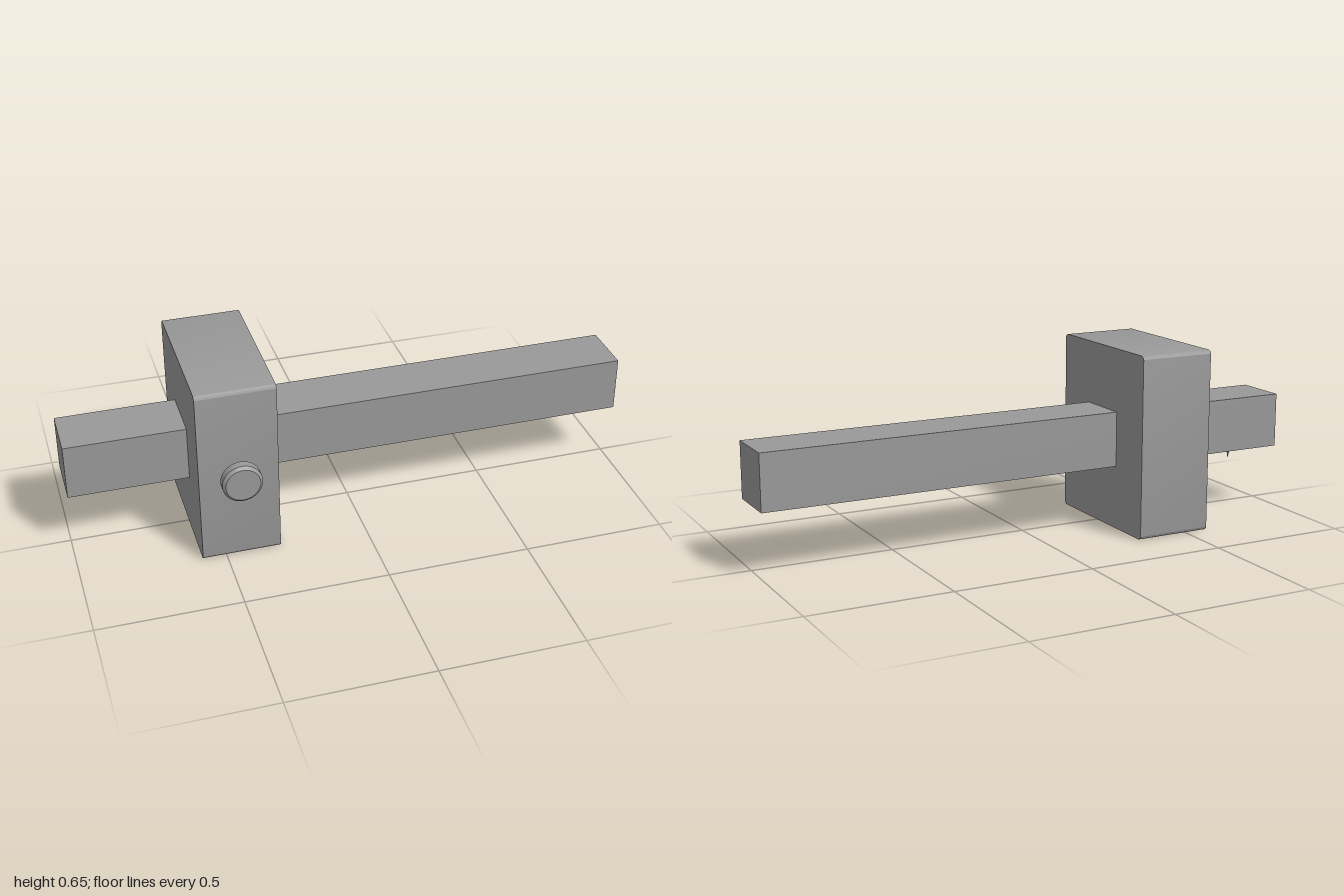
import * as THREE from 'three';
import { toCreasedNormals } from 'three/addons/utils/BufferGeometryUtils.js';

const BAR_Y = 0.326, BAR_Z = -0.031, BLOCK_X = -0.446;

export function createModel() {
  const model = new THREE.Group();
  model.name = 'markingGauge';
  const grey = new THREE.MeshStandardMaterial({ color: 0x999999 });
  grey.name = 'grey';

  const add = (name, geometry, x, y, z) => {
    const mesh = new THREE.Mesh(geometry, grey);
    mesh.name = name;
    mesh.position.set(x, y, z);
    model.add(mesh);
    return mesh;
  };

  // Long square beam
  add('beam', new THREE.BoxGeometry(2, 0.197, 0.197), 0, BAR_Y, BAR_Z);

  // Sliding fence: rounded rectangle in z/y, extruded along x
  const w = 0.541 / 2, h = 0.65 / 2, r = 0.015;
  const outline = new THREE.Shape();
  outline.moveTo(-w + r, -h);
  outline.lineTo(w - r, -h);
  outline.absarc(w - r, -h + r, r, -Math.PI / 2, 0);
  outline.absarc(w - r, h - r, r, 0, Math.PI / 2);
  outline.absarc(-w + r, h - r, r, Math.PI / 2, Math.PI);
  outline.absarc(-w + r, -h + r, r, Math.PI, Math.PI * 1.5);
  const depth = 0.274;
  const fence = new THREE.ExtrudeGeometry(outline, { depth, bevelEnabled: false, curveSegments: 6 });
  fence.translate(0, 0, -depth / 2).rotateY(Math.PI / 2);
  add('fence', toCreasedNormals(fence, 0.6), BLOCK_X, h, BAR_Z);

  // Thumb screw: shaft and chamfered head turned about z
  const profile = [[0, 0.22], [0.03, 0.22], [0.03, 0.255], [0.059, 0.255], [0.069, 0.265],
    [0.069, 0.294], [0.059, 0.304], [0, 0.304]].map(([x, y]) => new THREE.Vector2(x, y));
  const screw = new THREE.LatheGeometry(profile, 40).rotateX(Math.PI / 2);
  add('thumbScrew', toCreasedNormals(screw, 0.5), BLOCK_X, BAR_Y, 0);

  // Scribing pin under the short end, pointing down
  const pin = new THREE.ConeGeometry(0.01, 0.055, 16).rotateX(Math.PI);
  add('scribingPin', pin, -0.858, 0.2015, BAR_Z);

  return model;
}
